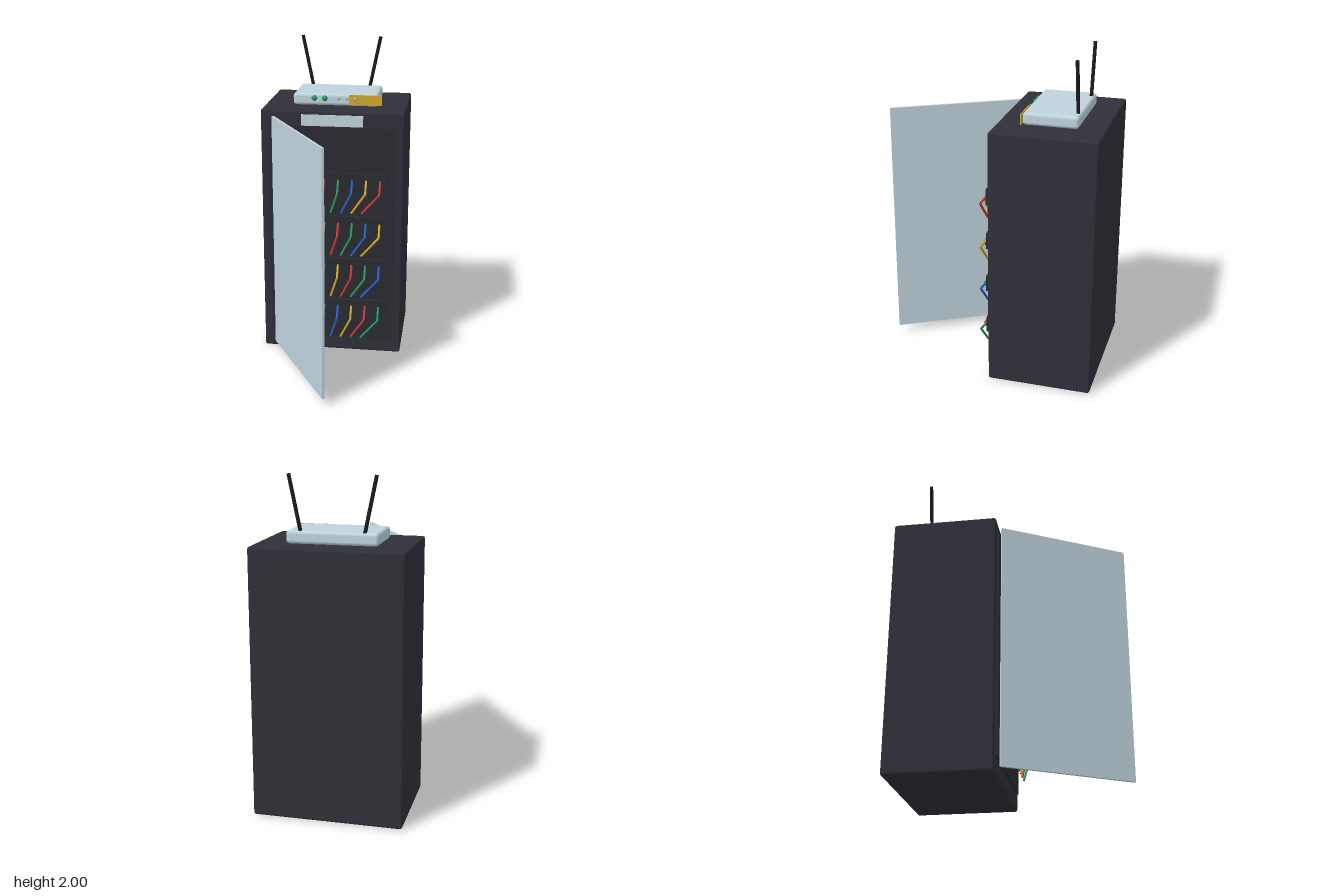
import * as THREE from 'three';
import { RoundedBoxGeometry } from 'three/addons/geometries/RoundedBoxGeometry.js';

const mat = (name, color) => Object.assign(new THREE.MeshStandardMaterial({ color }), { name });

export function createModel() {
  const root = new THREE.Group();
  root.name = 'networkCabinet';

  const charcoal = mat('charcoal', 0x2f2f38);
  const darkPanel = mat('dark panel', 0x2a2a32);
  const paleBlue = mat('pale blue', 0xbfd3dc);
  const black = mat('black', 0x1b1b1f);
  const green = mat('green', 0x27995a);
  const blue = mat('blue', 0x2860c8);
  const yellow = mat('yellow', 0xd0a82c);
  const red = mat('red', 0xd03830);
  const grey = mat('lamp grey', 0xa9b6bd);

  const add = (parent, name, geometry, material, x = 0, y = 0, z = 0) => {
    const mesh = new THREE.Mesh(geometry, material);
    mesh.name = name;
    mesh.position.set(x, y, z);
    parent.add(mesh);
    return mesh;
  };
  // Round bar between two points
  const bar = (parent, name, a, b, radius, material, sides = 8) => {
    const dir = new THREE.Vector3().subVectors(b, a);
    const mesh = add(parent, name, new THREE.CylinderGeometry(radius, radius, dir.length(), sides), material);
    mesh.position.copy(a).add(b).multiplyScalar(0.5);
    mesh.quaternion.setFromUnitVectors(new THREE.Vector3(0, 1, 0), dir.normalize());
    return mesh;
  };

  // Cabinet body with its front panel and label plate
  add(root, 'cabinet', new RoundedBoxGeometry(0.895, 1.605, 0.637, 3, 0.015), charcoal, 0, 0.8025, -0.3765);
  add(root, 'frontPanel', new THREE.BoxGeometry(0.79, 1.41, 0.03), darkPanel, 0, 0.805, -0.059);
  add(root, 'labelPlate', new THREE.BoxGeometry(0.385, 0.07, 0.014), paleBlue, 0, 1.546, -0.056);

  // Glass door standing open
  const door = add(root, 'door', new THREE.BoxGeometry(0.838, 1.525, 0.016), paleBlue, -0.157, 0.807, 0.328);
  door.rotation.y = -Math.PI / 3;

  // Four patch panels, each with eight hanging cables
  const cableColors = [green, blue, yellow, red];
  const joint = new THREE.SphereGeometry(0.007, 8, 6);
  for (let row = 0; row < 4; row++) {
    const y = 1.172 - row * 0.2825;
    const patch = new THREE.Group();
    patch.name = 'patchPanel' + (row + 1);
    root.add(patch);
    add(patch, 'panel', new THREE.BoxGeometry(0.71, 0.1, 0.03), darkPanel, 0, y, -0.034);
    for (let i = 0; i < 8; i++) {
      const x = -0.306 + i * 0.0874;
      const color = cableColors[(i - row + 4) % 4];
      const cable = new THREE.Group();
      cable.name = 'cable';
      patch.add(cable);
      const plug = new THREE.Vector3(x, y + 0.005, -0.022);
      const bend = new THREE.Vector3(x, y - 0.065, 0.031);
      const end = new THREE.Vector3(x + 0.05 - i * 0.0229, y - 0.195, 0.018);
      bar(cable, 'upperCable', plug, bend, 0.007, color);
      bar(cable, 'lowerCable', bend, end, 0.007, color);
      for (const p of [plug, bend]) add(cable, 'cableBend', joint, color, p.x, p.y, p.z);
    }
  }

  // Router on top of the cabinet
  const router = new THREE.Group();
  router.name = 'router';
  root.add(router);
  add(router, 'routerCase', new RoundedBoxGeometry(0.535, 0.075, 0.33, 4, 0.02), paleBlue, 0, 1.643, -0.377);
  add(router, 'yellowPlate', new THREE.BoxGeometry(0.205, 0.064, 0.006), yellow, 0.19, 1.646, -0.21);
  for (const x of [-0.132, -0.067])
    add(router, 'button', new THREE.SphereGeometry(0.018, 16, 12), green, x, 1.653, -0.209);
  for (const x of [0.022, 0.075, 0.126])
    add(router, 'lamp', new THREE.SphereGeometry(0.01, 12, 8), grey, x, 1.653, -0.208);

  // Splayed antennas
  for (const side of [-1, 1])
    bar(router, side > 0 ? 'leftAntenna' : 'rightAntenna',
      new THREE.Vector3(side * 0.184, 1.665, -0.521),
      new THREE.Vector3(side * 0.252, 1.998, -0.521), 0.011, black, 12);

  return root;
}
